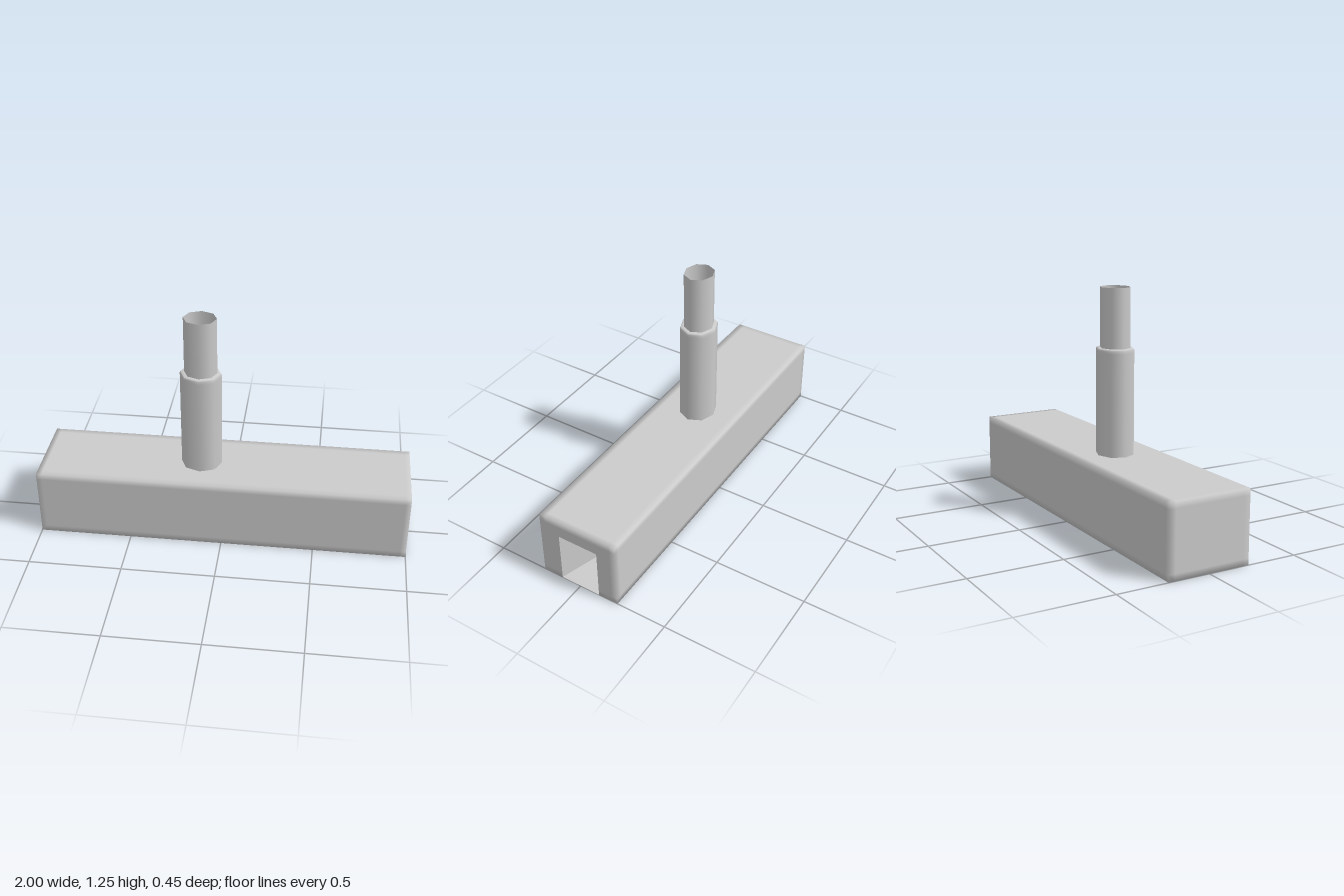
import * as THREE from 'three';
import { mergeVertices } from 'three/addons/utils/BufferGeometryUtils.js';

const material = new THREE.MeshStandardMaterial({ color: 0xcccccc, side: THREE.DoubleSide });
const POLE_X = -0.13, HEIGHT = 0.38, DOOR_Z = 0.113, DOOR_H = 0.285;

function addMesh(group, name, geometry) {
  const mesh = new THREE.Mesh(geometry, material);
  mesh.name = name;
  group.add(mesh);
  return mesh;
}

// Thin box shell; grid lines hug the edges so the shading rounds them softly.
function shellGeometry() {
  const grid = [
    [-1, -0.97, -0.25, -0.01, 0.97, 1],
    [0, 0.035, DOOR_H, 0.345, HEIGHT],
    [-0.225, -0.19, -DOOR_Z, DOOR_Z, 0.19, 0.225],
  ];
  const positions = [];
  for (let axis = 0; axis < 3; axis++) {
    const u = (axis + 1) % 3, v = (axis + 2) % 3;
    for (const positive of [false, true]) {
      const level = positive ? grid[axis].at(-1) : grid[axis][0];
      for (let i = 0; i < grid[u].length - 1; i++) {
        for (let j = 0; j < grid[v].length - 1; j++) {
          // doorway in the +x end, and the square of roof around the pole
          if (positive && axis === 0 && i < 2 && j === 2) continue;
          if (positive && axis === 1 && i === 2 && j === 2) continue;
          const corner = (a, b) => {
            const p = [];
            p[axis] = level;
            p[u] = grid[u][i + a];
            p[v] = grid[v][j + b];
            return p;
          };
          const q = [corner(0, 0), corner(1, 0), corner(1, 1), corner(0, 1)];
          if (!positive) q.reverse();
          for (const k of [0, 1, 2, 0, 2, 3]) positions.push(...q[k]);
        }
      }
    }
  }
  const geometry = new THREE.BufferGeometry();
  geometry.setAttribute('position', new THREE.Float32BufferAttribute(positions, 3));
  const merged = mergeVertices(geometry);
  merged.computeVertexNormals();
  return merged;
}

// Square of roof with an eight-sided hole for the pole.
function collarGeometry() {
  const shape = new THREE.Shape([[-0.12, -DOOR_Z], [0.12, -DOOR_Z], [0.12, DOOR_Z], [-0.12, DOOR_Z]]
    .map(([x, y]) => new THREE.Vector2(x, y)));
  const hole = [];
  for (let i = 0; i < 8; i++) {
    const a = -i * Math.PI / 4;
    hole.push(new THREE.Vector2(0.11 * Math.cos(a), 0.098 * Math.sin(a)));
  }
  shape.holes.push(new THREE.Path(hole));
  return new THREE.ShapeGeometry(shape).rotateX(-Math.PI / 2).translate(POLE_X, HEIGHT, 0);
}

// Eight-sided open tube from a short profile of [radius, height].
function tubeGeometry(profile) {
  return new THREE.LatheGeometry(profile.map(([r, y]) => new THREE.Vector2(r, y)), 8)
    .scale(1, 0.89, 1).scale(1, 1 / 0.89, 0.89).translate(POLE_X, 0, 0);
}

export function createModel() {
  const model = new THREE.Group();
  model.name = 'longHouseWithChimney';

  addMesh(model, 'bodyShell', shellGeometry());
  addMesh(model, 'roofCollar', collarGeometry());

  // stepped chimney, open at the top
  addMesh(model, 'lowerChimney', tubeGeometry([[0.11, HEIGHT], [0.11, 0.92], [0.11, 0.935], [0.105, 0.943], [0.087, 0.943]]));
  addMesh(model, 'upperChimney', tubeGeometry([[0.087, 0.943], [0.087, 1.255]]));

  // door leaf standing open inside the doorway
  const door = addMesh(model, 'openDoor',
    new THREE.PlaneGeometry(0.22, DOOR_H).translate(-0.11, DOOR_H / 2, 0));
  door.position.set(1, 0, DOOR_Z);
  door.rotation.y = -Math.asin(0.065 / 0.22);

  return model;
}
